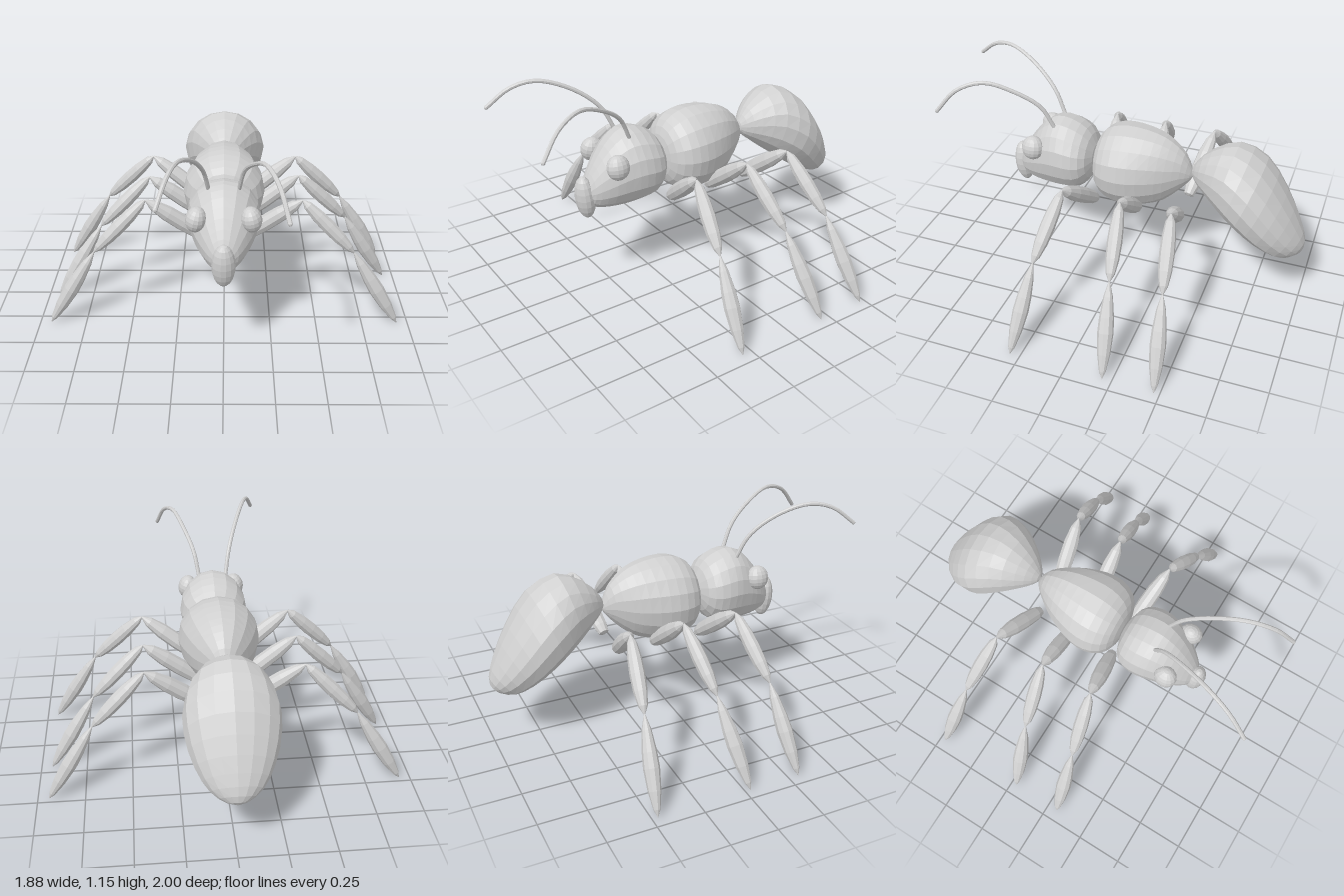
import * as THREE from 'three';

const grey = new THREE.MeshStandardMaterial({ color: 0xd0d0d0, flatShading: true });
grey.name = 'grey';

function add(parent, name, geometry) {
  const mesh = new THREE.Mesh(geometry, grey);
  mesh.name = name;
  parent.add(mesh);
  return mesh;
}

// Adds a smooth in-between to every pair of sections, rounding over the closed ends
function refine(sections) {
  const flip = ([tz, ty, bz, by, w]) => [bz, by, tz, ty, -w];
  const last = sections.length - 1;
  return sections.flatMap((b, i) => {
    if (i === last) return [b];
    const a = sections[i - 1] ?? flip(sections[1]), c = sections[i + 1];
    const d = sections[i + 2] ?? flip(sections[last - 1]);
    return [b, b.map((v, k) => (9 * (v + c[k]) - a[k] - d[k]) / 16)];
  });
}

// Rounded loft from front to back; section = [topZ, topY, bottomZ, bottomY, halfWidth].
// A belly below 1 makes the underside flatter.
function loft(rough, belly = 1, sides = 16) {
  const sections = refine(rough), pos = [], index = [];
  sections.forEach(([tz, ty, bz, by, w], i) => {
    for (let j = 0; j < sides; j++) {
      const a = (j / sides) * Math.PI * 2, sin = Math.sin(a);
      const s = sin < 0 ? -Math.pow(-sin, belly) : sin;
      pos.push(w * Math.cos(a), (ty + by) / 2 + s * (ty - by) / 2, (tz + bz) / 2 + s * (tz - bz) / 2);
      if (i === sections.length - 1) continue;
      const p = i * sides + j, q = i * sides + (j + 1) % sides;
      if (i < sections.length - 2) index.push(p, p + sides, q + sides);
      else index.push(p, p + sides, q);
      if (i > 0 && i < sections.length - 2) index.push(p, q + sides, q);
    }
  });
  const g = new THREE.BufferGeometry();
  g.setAttribute('position', new THREE.Float32BufferAttribute(pos, 3));
  g.setIndex(index);
  g.computeVertexNormals();
  return g;
}

// Leg segment turned around the line from a to b; profile = [radius, fraction of length]
function segment(parent, name, a, b, profile) {
  const from = new THREE.Vector3(...a), dir = new THREE.Vector3(...b).sub(from);
  const len = dir.length();
  const mesh = add(parent, name, new THREE.LatheGeometry(
    profile.map(([r, t]) => new THREE.Vector2(r, t * len)), 10));
  mesh.position.copy(from);
  mesh.quaternion.setFromUnitVectors(new THREE.Vector3(0, 1, 0), dir.normalize());
}

const FEMUR = [[0, 0], [0.028, 0.02], [0.038, 0.13], [0.044, 0.4], [0.042, 0.65], [0.029, 0.87], [0.004, 1]];
const TIBIA = [[0.004, 0], [0.025, 0.1], [0.036, 0.3], [0.039, 0.5], [0.035, 0.72], [0.023, 0.9], [0.004, 1]];
const TARSUS = [[0.004, 0], [0.024, 0.15], [0.037, 0.36], [0.041, 0.52], [0.033, 0.74], [0.017, 0.92], [0, 1]];

export function createModel() {
  const ant = new THREE.Group();
  ant.name = 'ant';

  // Body
  add(ant, 'head', loft([
    [0.625, 0.57, 0.625, 0.57, 0],
    [0.61, 0.63, 0.61, 0.51, 0.055],
    [0.565, 0.71, 0.575, 0.475, 0.095],
    [0.5, 0.80, 0.50, 0.46, 0.14],
    [0.43, 0.86, 0.42, 0.455, 0.168],
    [0.36, 0.877, 0.34, 0.46, 0.187],
    [0.27, 0.85, 0.26, 0.475, 0.182],
    [0.205, 0.79, 0.20, 0.54, 0.135],
    [0.17, 0.67, 0.17, 0.67, 0],
  ]));
  add(ant, 'thorax', loft([
    [0.175, 0.66, 0.175, 0.66, 0],
    [0.162, 0.775, 0.162, 0.54, 0.11],
    [0.12, 0.845, 0.12, 0.475, 0.182],
    [0.04, 0.885, 0.04, 0.44, 0.217],
    [-0.06, 0.892, -0.05, 0.432, 0.212],
    [-0.17, 0.875, -0.14, 0.45, 0.178],
    [-0.25, 0.84, -0.22, 0.485, 0.135],
    [-0.32, 0.78, -0.30, 0.56, 0.08],
    [-0.36, 0.70, -0.35, 0.62, 0.035],
    [-0.37, 0.66, -0.37, 0.66, 0],
  ]));
  add(ant, 'abdomen', loft([
    [-0.36, 0.69, -0.36, 0.69, 0],
    [-0.39, 0.755, -0.385, 0.64, 0.055],
    [-0.465, 0.83, -0.44, 0.595, 0.12],
    [-0.60, 0.886, -0.52, 0.53, 0.195],
    [-0.75, 0.81, -0.62, 0.455, 0.24],
    [-0.87, 0.645, -0.73, 0.37, 0.22],
    [-0.955, 0.485, -0.83, 0.308, 0.162],
    [-0.995, 0.38, -0.90, 0.288, 0.09],
    [-0.98, 0.315, -0.98, 0.315, 0],
  ], 0.82));

  // Mouth
  const mouth = add(ant, 'mouth', new THREE.SphereGeometry(1, 14, 10));
  mouth.scale.set(0.06, 0.12, 0.052);
  mouth.position.set(0, 0.54, 0.621);
  mouth.rotation.x = 0.1;

  for (const side of [1, -1]) {
    const word = side > 0 ? 'left' : 'right';

    // Eyes
    const eye = add(ant, word + 'Eye', new THREE.SphereGeometry(1, 14, 10));
    eye.scale.set(0.053, 0.066, 0.062);
    eye.position.set(side * 0.137, 0.73, 0.497);
    eye.rotation.z = side * 0.2;

    // Antennae, the left one drooping a little lower
    const drop = side > 0 ? 1 : 0;
    const path = new THREE.CatmullRomCurve3([
      [0.075, 0.84, 0.39], [0.1, 0.97, 0.455], [0.15, 1.08 - 0.015 * drop, 0.585],
      [0.21 - 0.01 * drop, 1.14 - 0.025 * drop, 0.75 - 0.02 * drop],
      [0.25, 1.115 - 0.045 * drop, 0.875 - 0.01 * drop],
      [0.29, 1.025 - 0.075 * drop, 0.99 - 0.02 * drop],
    ].map(([x, y, z]) => new THREE.Vector3(side * x, y, z)));
    add(ant, word + 'Antenna', new THREE.TubeGeometry(path, 20, 0.011, 8));
    const tip = add(ant, word + 'AntennaTip', new THREE.SphereGeometry(0.011, 8, 6));
    tip.position.copy(path.getPoint(1));

    // Legs: z at hip, knee, ankle and foot
    const rows = {
      FrontLeg: [0.155, 0.21, 0.265, 0.305],
      MiddleLeg: side > 0 ? [-0.09, -0.105, -0.15, -0.2] : [-0.11, -0.085, -0.035, 0.03],
      BackLeg: [-0.322, -0.375, -0.425, -0.47],
    };
    for (const [row, [hip, knee, ankle, foot]] of Object.entries(rows)) {
      const leg = new THREE.Group();
      leg.name = word + row;
      ant.add(leg);
      const h = [side * 0.093, 0.45, hip], k = [side * 0.412, 0.695, knee];
      const a = [side * 0.69, 0.415, ankle], f = [side * 0.942, 0, foot];
      segment(leg, 'upperLeg', h, k, FEMUR);
      segment(leg, 'lowerLeg', k, a, TIBIA);
      segment(leg, 'foot', a, f, TARSUS);
    }
  }
  return ant;
}
